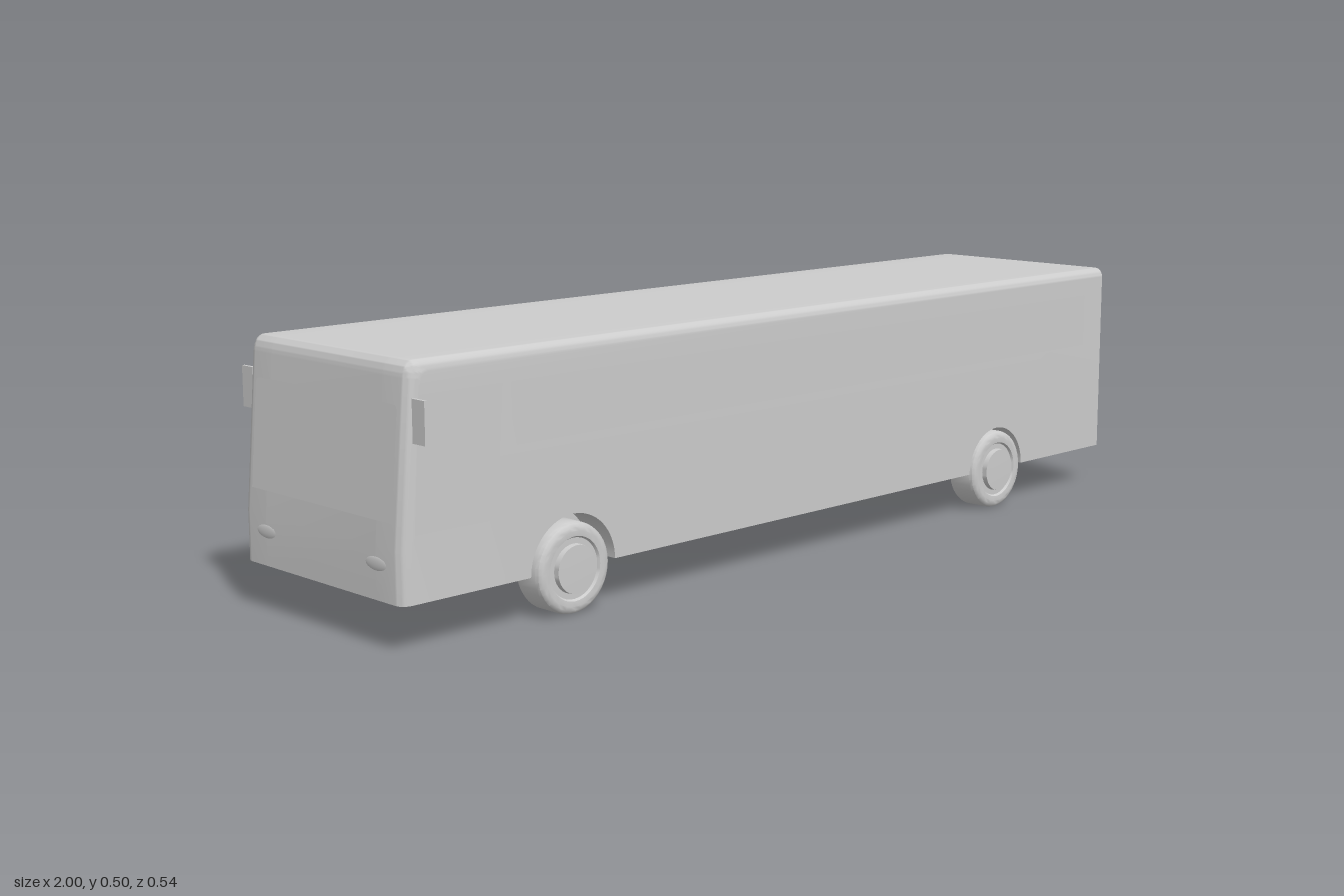
import * as THREE from 'three';
import { toCreasedNormals } from 'three/addons/utils/BufferGeometryUtils.js';

const FLOOR = 0.086, ROOF = 0.5, HALF = 0.237, CORE = 0.165, ROUND = 0.02;
const AXLES = [{ name: 'front', x: -0.62, arch: 0.1 }, { name: 'rear', x: 0.615, arch: 0.092 }];

const grey = new THREE.MeshStandardMaterial({ color: 0xcccccc });
const glass = new THREE.MeshStandardMaterial({ color: 0xffffff, side: THREE.DoubleSide });

function mesh(name, geometry, material = grey) {
  const m = new THREE.Mesh(geometry, material);
  m.name = name;
  return m;
}

// Side outline of the body, with or without wheel arches
function bodyOutline(arches) {
  const s = new THREE.Shape();
  s.moveTo(-1, FLOOR);
  if (arches) for (const a of AXLES) {
    s.lineTo(a.x - a.arch, FLOOR);
    s.absarc(a.x, FLOOR, a.arch, Math.PI, 0, true);
  }
  s.lineTo(1, FLOOR);
  s.lineTo(1, ROOF);
  s.lineTo(-0.952, ROOF);
  s.quadraticCurveTo(-0.972, ROOF, -0.975, 0.47);
  s.lineTo(-1, 0.18);
  return s;
}

// Outer slab holding the arches; roof and nose edges are rounded towards the side
function sideSlab(s) {
  const steps = 8;
  const g = new THREE.ExtrudeGeometry(bodyOutline(true),
    { depth: steps, steps, bevelEnabled: false, curveSegments: 16 });
  const p = g.attributes.position;
  for (let i = 0; i < p.count; i++) {
    const layer = Math.round(p.getZ(i));
    const k = s > 0 ? layer : steps - layer;
    let z = CORE, inset = 0;
    if (k > 0) {
      const a = (k - 1) / (steps - 1) * Math.PI / 2;
      z = HALF - ROUND + ROUND * Math.sin(a);
      inset = ROUND * (1 - Math.cos(a));
    }
    const x = p.getX(i), y = p.getY(i);
    p.setXYZ(i, x < -0.94 ? x + inset : x, y > 0.471 ? y - inset : y, s * z);
  }
  return toCreasedNormals(g, 0.6);
}

// Flat panel on a side of the body, s = +1 or -1
function sidePanel(points, s) {
  const g = new THREE.ShapeGeometry(new THREE.Shape(points.map(([x, y]) => new THREE.Vector2(x * s, y))));
  if (s < 0) g.rotateY(Math.PI);
  return g.translate(0, 0, s * (HALF + 0.0015));
}

// Window outline with rounded top corners
function roundedTop(w, y0, y1, r) {
  const s = new THREE.Shape();
  s.moveTo(-w, y0);
  s.lineTo(w, y0);
  s.lineTo(w, y1 - r);
  s.quadraticCurveTo(w, y1, w - r, y1);
  s.lineTo(-w + r, y1);
  s.quadraticCurveTo(-w, y1, -w, y1 - r);
  return s;
}

// x of the sloping nose at height y
const noseX = (y) => -1 + Math.max(0, y - 0.18) * 0.025 / 0.29;

// Tyre, rim recess and hub turned about one axis; outer side along s
function wheelGeometry(s) {
  const profile = [
    [0, -0.035], [0.076, -0.035], [0.082, -0.032], [0.085, -0.026], [0.085, 0.022], [0.083, 0.029],
    [0.077, 0.034], [0.07, 0.035], [0.06, 0.034], [0.057, 0.029], [0.046, 0.029], [0.045, 0.04], [0, 0.041],
  ].map(([r, y]) => new THREE.Vector2(r, y));
  return toCreasedNormals(new THREE.LatheGeometry(profile, 40).rotateX(s * Math.PI / 2), 0.6);
}

export function createModel() {
  const bus = new THREE.Group();
  bus.name = 'bus';

  // Body
  const core = new THREE.ExtrudeGeometry(bodyOutline(false),
    { depth: 2 * CORE, bevelEnabled: false, curveSegments: 16 }).translate(0, 0, -CORE);
  bus.add(mesh('bodyCore', toCreasedNormals(core, 0.6)));

  for (const s of [1, -1]) {
    const side = s > 0 ? 'left' : 'right';
    bus.add(mesh(side + 'BodySide', sideSlab(s)));

    // Side glass
    bus.add(mesh(side + 'DoorGlass',
      sidePanel([[-0.972, 0.205], [-0.795, 0.205], [-0.778, 0.443], [-0.957, 0.443]], s), glass));
    bus.add(mesh(side + 'SideWindow',
      sidePanel([[-0.748, 0.33], [0.93, 0.33], [0.93, 0.443], [-0.758, 0.443], [-0.758, 0.38]], s), glass));

    // Mirror
    const mirror = mesh(side + 'Mirror', new THREE.BoxGeometry(0.006, 0.076, 0.034), glass);
    mirror.position.set(-0.967, 0.4, s * 0.254);
    bus.add(mirror);

    // Headlight
    const lamp = mesh(side + 'Headlight', new THREE.SphereGeometry(1, 20, 12), glass);
    lamp.scale.set(0.004, 0.014, 0.034);
    lamp.position.set(-1 + 0.002, 0.15, s * 0.165);
    bus.add(lamp);

    // Wheels
    for (const a of AXLES) {
      const wheel = mesh(a.name + side[0].toUpperCase() + side.slice(1) + 'Wheel', wheelGeometry(s));
      wheel.position.set(a.x, 0.085, s * 0.207);
      bus.add(wheel);
    }
  }

  // Windscreen follows the sloping nose
  const screen = new THREE.ShapeGeometry(roundedTop(0.21, 0.225, 0.425, 0.012));
  const p = screen.attributes.position;
  for (let i = 0; i < p.count; i++) {
    p.setXYZ(i, noseX(p.getY(i)) - 0.0015, p.getY(i), p.getX(i));
  }
  screen.computeVertexNormals();
  bus.add(mesh('windscreen', screen, glass));

  // Rear window
  const rear = new THREE.ShapeGeometry(roundedTop(0.21, 0.324, 0.48, 0.016));
  bus.add(mesh('rearWindow', rear.rotateY(Math.PI / 2).translate(1.001, 0, 0), glass));

  return bus;
}
